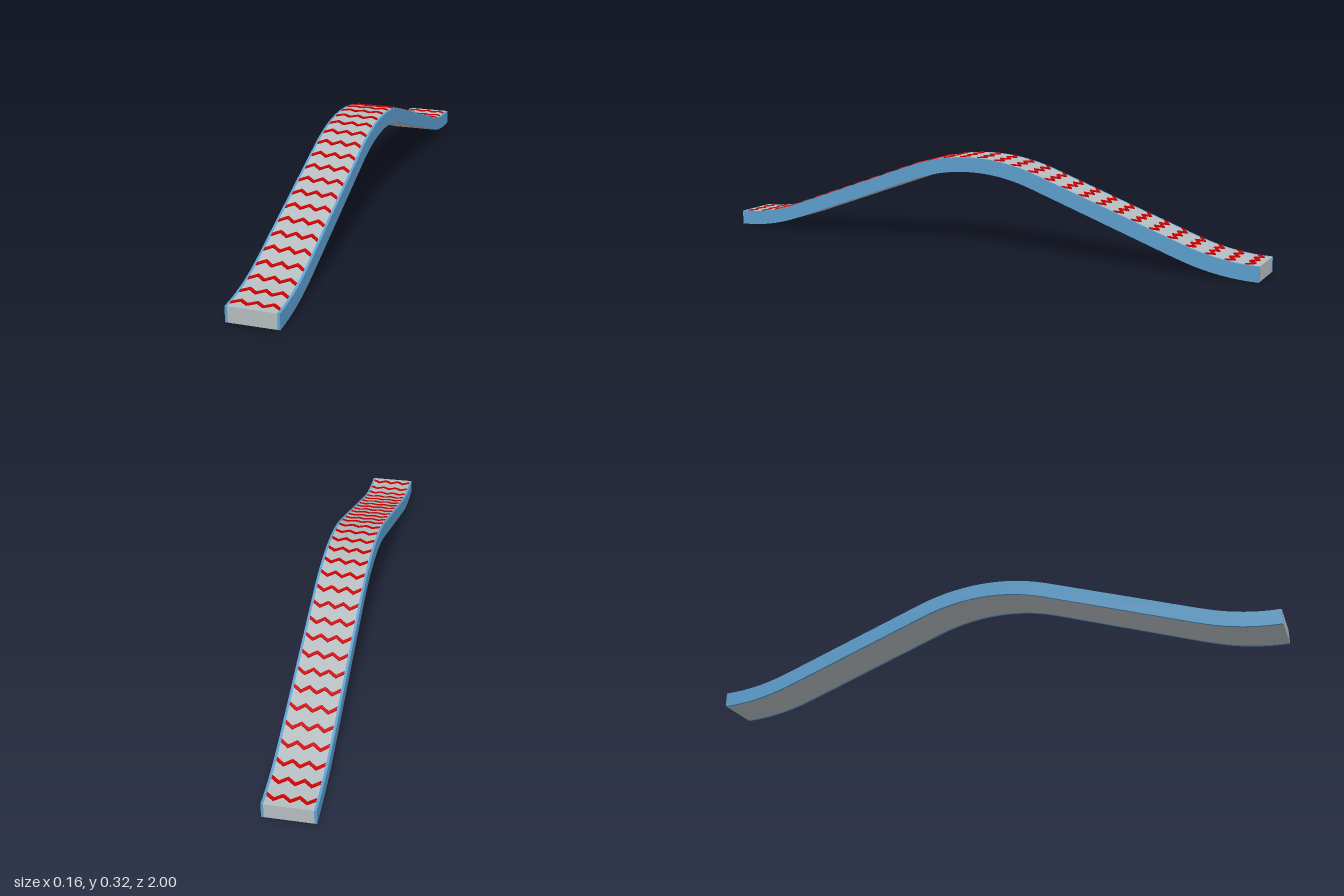
import * as THREE from 'three';
import { toCreasedNormals } from 'three/addons/utils/BufferGeometryUtils.js';

const mat = (name, color) => {
  const m = new THREE.MeshStandardMaterial({ color });
  m.name = name;
  return m;
};

// Hump path: crest arc, straight slope, foot arc, mirrored about z = 0
const R = 0.71, ANGLE = 0.345, TOP = 0.32, THICK = 0.05;
const ARC = R * ANGLE;
const SLOPE = (1 - 2 * R * Math.sin(ANGLE)) / Math.cos(ANGLE);
const HALF = 2 * ARC + SLOPE;

// Point at arc length s along the top surface, lifted by d along its normal
function onPath(s, d) {
  const side = s < 0 ? -1 : 1, a = Math.abs(s);
  let t, z, y;
  if (a < ARC) {
    t = a / R;
    z = R * Math.sin(t);
    y = TOP - R * (1 - Math.cos(t));
  } else if (a < ARC + SLOPE) {
    t = ANGLE;
    z = R * Math.sin(t) + (a - ARC) * Math.cos(t);
    y = TOP - R * (1 - Math.cos(t)) - (a - ARC) * Math.sin(t);
  } else {
    t = (HALF - a) / R;
    z = 1 - R * Math.sin(t);
    y = THICK + R * (1 - Math.cos(t));
  }
  return { z: side * (z + d * Math.sin(t)), y: y + d * Math.cos(t) };
}

// Side profile of the curved slab, extruded across x
function slab(x0, x1) {
  const N = 72, pts = [];
  for (let i = 0; i <= N; i++) {
    const p = onPath(HALF * (2 * i / N - 1), -THICK);
    pts.push(new THREE.Vector2(p.z, p.y));
  }
  for (let i = N; i >= 0; i--) {
    const p = onPath(HALF * (2 * i / N - 1), 0);
    pts.push(new THREE.Vector2(p.z, p.y));
  }
  const g = new THREE.ExtrudeGeometry(new THREE.Shape(pts), { depth: x1 - x0, bevelEnabled: false });
  g.rotateY(-Math.PI / 2);
  g.translate(x1, 0, 0);
  return toCreasedNormals(g, 0.5);
}

export function createModel() {
  const model = new THREE.Group();
  model.name = 'humpRamp';
  const grey = mat('deckGrey', 0xb4bcbf);
  const blue = mat('railBlue', 0x5c9fcf);
  const red = mat('chevronRed', 0xcc0000);

  const add = (name, geometry, material, parent = model) => {
    const mesh = new THREE.Mesh(geometry, material);
    mesh.name = name;
    parent.add(mesh);
  };

  // Deck and side rails
  add('deck', slab(-0.074, 0.074), grey);
  add('leftRail', slab(0.074, 0.082), blue);
  add('rightRail', slab(-0.082, -0.074), blue);

  // Rows of three raised chevrons bent onto the deck, all pointing to the back
  const W = 0.024, RISE = 0.009, BAND = 0.006, ROWS = 32;
  const chevrons = [-0.049, 0, 0.049].map((cx) => new THREE.Shape([
    [-W, -RISE - BAND], [0, RISE - BAND], [W, -RISE - BAND],
    [W, -RISE + BAND], [0, RISE + BAND], [-W, -RISE + BAND],
  ].map(([x, a]) => new THREE.Vector2(cx + x, a))));

  const treads = new THREE.Group();
  treads.name = 'chevronTreads';
  model.add(treads);
  for (let r = 0; r < ROWS; r++) {
    const s0 = HALF * ((2 * r + 1) / ROWS - 1);
    const g = new THREE.ExtrudeGeometry(chevrons, { depth: 0.004, bevelEnabled: false });
    const pos = g.attributes.position;
    for (let i = 0; i < pos.count; i++) {
      const p = onPath(s0 - pos.getY(i), pos.getZ(i) - 0.0005);
      pos.setXYZ(i, pos.getX(i), p.y, p.z);
    }
    g.computeVertexNormals();
    add('chevronRow', g, red, treads);
  }
  return model;
}
